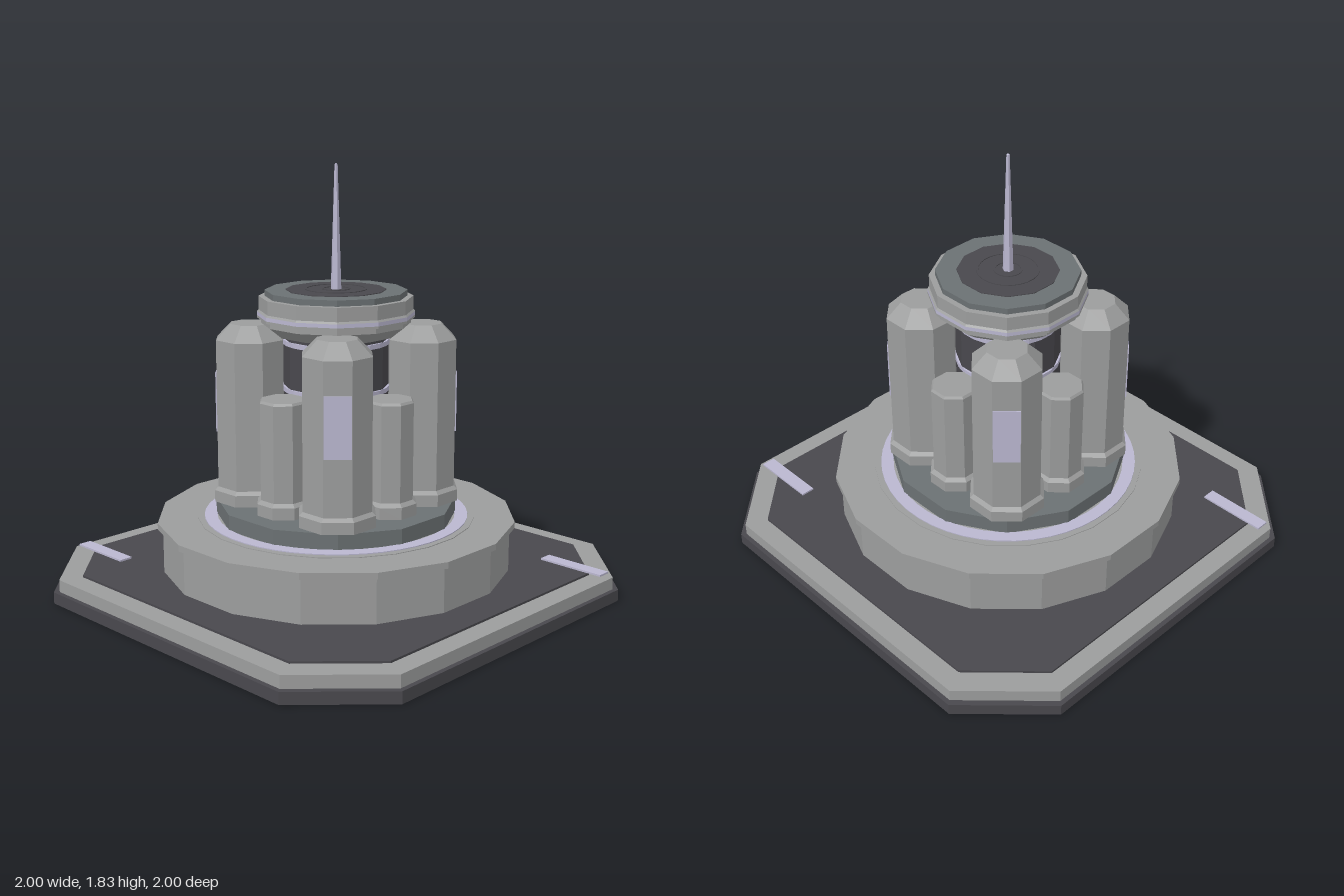
import * as THREE from 'three';

const mat = (name, color, flatShading = true) => {
  const m = new THREE.MeshStandardMaterial({ color, flatShading });
  m.name = name;
  return m;
};

export function createModel() {
  const model = new THREE.Group();
  const stone = mat('light grey', 0x9c9d9d);
  const slate = mat('slate grey', 0x6b7173);
  const dark = mat('charcoal', 0x49484d);
  const glow = mat('pale lavender', 0xbab7d0);

  const add = (name, geometry, material, x = 0, y = 0, z = 0, parent = model) => {
    const mesh = new THREE.Mesh(geometry, material);
    mesh.name = name;
    mesh.position.set(x, y, z);
    parent.add(mesh);
    return mesh;
  };

  // Faceted solid with a flat side facing front; profile is [apothem, y] from bottom to top
  const turned = (sides, profile) => {
    const k = 1 / Math.cos(Math.PI / sides);
    const pts = profile.map(([r, y]) => new THREE.Vector2(r * k, y));
    return new THREE.LatheGeometry(pts, sides, Math.PI / sides);
  };
  const drum = (sides, r, y0, y1) => turned(sides, [[0, y0], [r, y0], [r, y1], [0, y1]]);
  const ring = (sides, inner, outer, y0, y1) =>
    turned(sides, [[inner, y0], [outer, y0], [outer, y1], [inner, y1], [inner, y0]]);

  // Square slab with cut corners
  const slab = (half, cut, height) => {
    const s = new THREE.Shape([
      [half, -cut], [half, cut], [cut, half], [-cut, half],
      [-half, cut], [-half, -cut], [-cut, -half], [cut, -half],
    ].map(([x, y]) => new THREE.Vector2(x, y)));
    return new THREE.ExtrudeGeometry(s, { depth: height, bevelEnabled: false }).rotateX(-Math.PI / 2);
  };

  // Platform
  add('platformFoot', slab(1, 0.69, 0.05), dark);
  add('platformSlab', slab(0.98, 0.675, 0.053), stone, 0, 0.05);
  add('platformPanel', slab(0.89, 0.63, 0.009), dark, 0, 0.103);
  for (const s of [1, -1]) {
    add('platformMarker', new THREE.BoxGeometry(0.06, 0.008, 0.305), glow, s * 0.65, 0.117, s * 0.8);
  }

  // Round plinth, inlaid ring and upper step
  add('plinth', turned(16, [[0, 0.1], [0.735, 0.1], [0.735, 0.295], [0.757, 0.303], [0.757, 0.33], [0, 0.33]]), stone);
  add('plinthInset', drum(24, 0.592, 0.325, 0.333), stone);
  add('plinthRing', ring(48, 0.512, 0.567, 0.328, 0.337), glow);
  add('upperStep', drum(12, 0.5, 0.325, 0.4), slate);

  // Core column with light bands
  add('coreColumn', drum(12, 0.215, 0.4, 1.15), dark);
  for (const y of [0.49, 0.69, 0.89, 1.09]) {
    add('coreBand', ring(24, 0.2, 0.224, y - 0.01, y + 0.01), glow);
  }

  // Four tall diagonal pillars and four short ones between them
  for (let i = 0; i < 4; i++) {
    const quarter = new THREE.Group();
    quarter.name = 'pillarPair';
    quarter.rotation.y = i * Math.PI / 2;
    model.add(quarter);
    const c = 0.257;
    add('tallPillar', turned(8, [[0.14, 0.44], [0.14, 1.1], [0.08, 1.165], [0, 1.165]]), stone, c, 0, c, quarter);
    add('tallPillarFoot', turned(8, [[0.155, 0.4], [0.155, 0.45], [0.14, 0.465]]), stone, c, 0, c, quarter);
    const d = c + 0.141 * Math.SQRT1_2;
    add('pillarWindow', new THREE.BoxGeometry(0.112, 0.255, 0.009), glow, d, 0.833, d, quarter)
      .rotation.y = Math.PI / 4;
    add('shortPillar', turned(8, [[0.095, 0.44], [0.095, 0.875], [0.088, 0.885], [0, 0.885]]), stone, 0, 0, 0.31, quarter);
    add('shortPillarFoot', turned(8, [[0.11, 0.4], [0.11, 0.45], [0.095, 0.465]]), stone, 0, 0, 0.31, quarter);
  }

  // Crown
  add('crownBase', turned(12, [[0, 1.12], [0.25, 1.12], [0.305, 1.165], [0.305, 1.195]]), stone);
  add('crownFlange', ring(12, 0.25, 0.322, 1.188, 1.198), stone);
  add('crownBand', ring(12, 0.25, 0.322, 1.198, 1.214), glow);
  add('crownRim', turned(12, [[0.322, 1.214], [0.315, 1.222], [0.315, 1.28], [0.28, 1.28]]), stone);
  add('crownTop', turned(12, [[0.29, 1.275], [0.29, 1.305], [0, 1.305]]), slate);
  add('crownDisc', drum(12, 0.205, 1.3, 1.308), dark);
  for (const r of [0.13, 0.06]) {
    add('crownDiscRing', ring(24, r - 0.008, r, 1.305, 1.311), dark);
  }

  // Antenna
  add('antenna', turned(6, [[0.02, 1.3], [0.006, 1.825], [0, 1.83]]), glow);

  return model;
}
